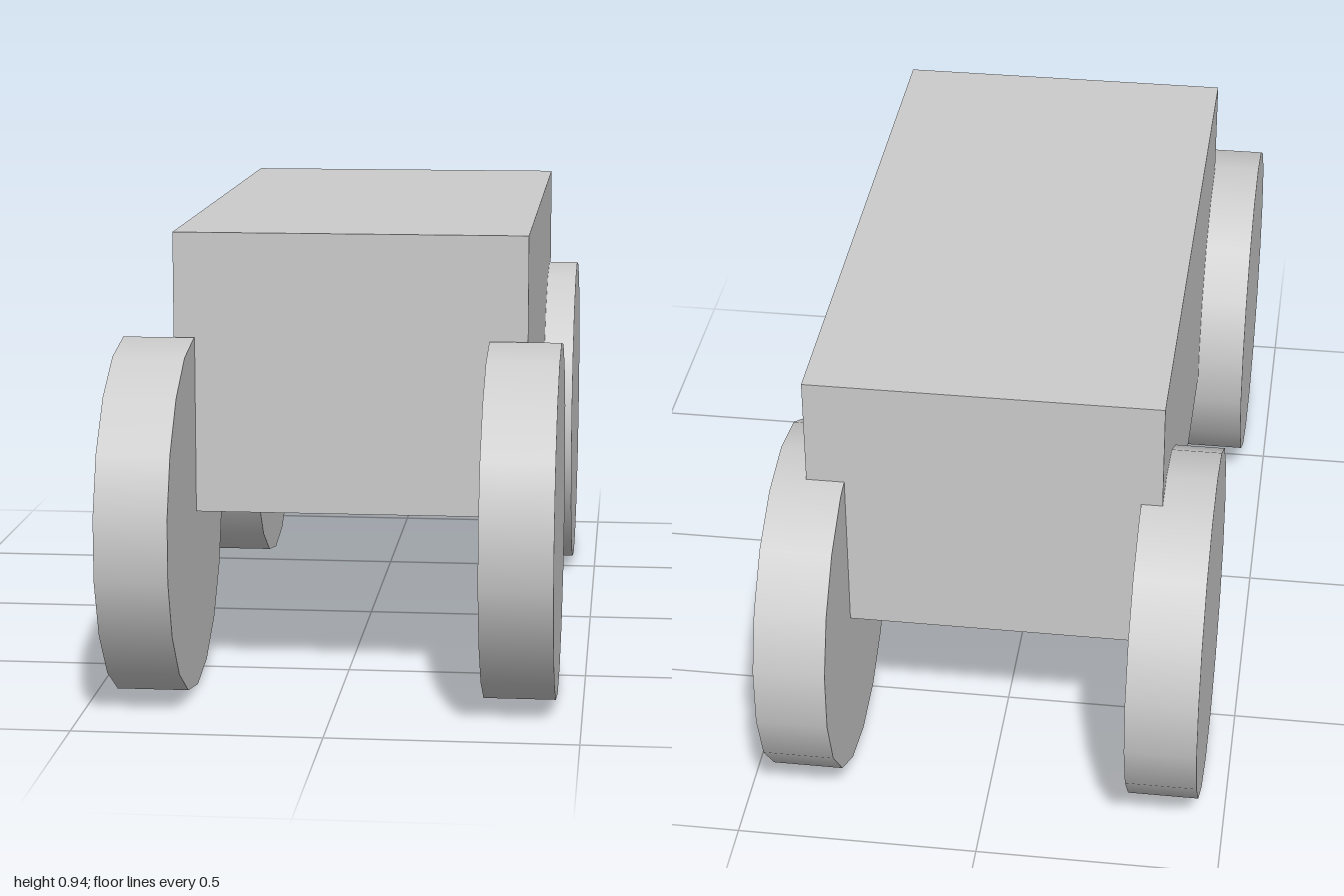
import * as THREE from 'three';

export function createModel() {
  const model = new THREE.Group();
  const material = new THREE.MeshStandardMaterial({ color: 0xcccccc });

  // Box body, set slightly off-centre over the wheels
  const body = new THREE.Mesh(new THREE.BoxGeometry(0.723, 0.578, 1.36), material);
  body.name = 'body';
  body.position.set(0.0165, 0.656, -0.045);
  model.add(body);

  // Four 18-sided wheels, each with a corner at the very top
  const radius = 0.365;
  const wheelGeometry = new THREE.CylinderGeometry(radius, radius, 0.146, 18);
  wheelGeometry.rotateY(Math.PI / 2).rotateZ(Math.PI / 2);
  for (const [end, z] of [['front', 0.6405], ['back', -0.6405]]) {
    for (const [side, x] of [['Left', 0.373], ['Right', -0.375]]) {
      const wheel = new THREE.Mesh(wheelGeometry, material);
      wheel.name = `${end}${side}Wheel`;
      wheel.position.set(x, radius, z);
      model.add(wheel);
    }
  }

  return model;
}
